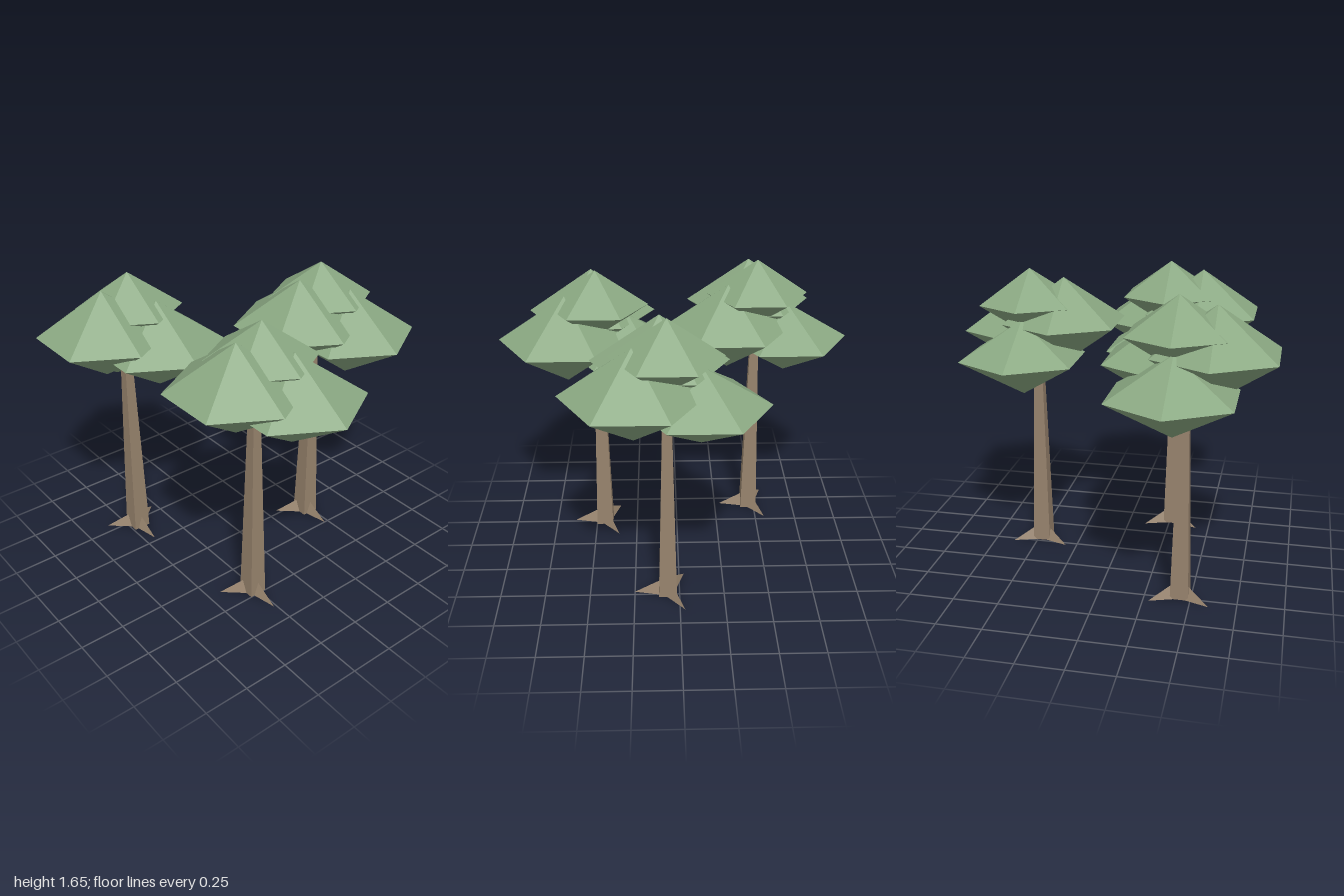
import * as THREE from 'three';
import { ConvexGeometry } from 'three/addons/geometries/ConvexGeometry.js';

const bark = new THREE.MeshStandardMaterial({ color: 0x96826c, flatShading: true });
const leaf = new THREE.MeshStandardMaterial({ color: 0x8aa882, flatShading: true });

function addMesh(parent, name, geometry, material) {
  const mesh = new THREE.Mesh(geometry, material);
  mesh.name = name;
  parent.add(mesh);
  return mesh;
}

// Foliage clumps: name, centre, radius, half height
const clumps = [
  ['topFoliage', [0, 1.455, -0.04], 0.29, 0.195],
  ['lowFoliage', [-0.175, 1.185, -0.04], 0.36, 0.21],
  ['frontFoliage', [0.035, 1.355, 0.145], 0.36, 0.245],
  ['sideFoliage', [0.17, 1.275, -0.105], 0.375, 0.25],
];

function createTree() {
  const tree = new THREE.Group();

  // Square tapering trunk
  const height = 1.3;
  const trunk = new THREE.CylinderGeometry(0.02 * Math.SQRT2, 0.05 * Math.SQRT2, height, 4);
  trunk.rotateY(Math.PI / 4).translate(0, height / 2, 0);
  addMesh(tree, 'trunk', trunk, bark);

  // Three pointed roots spread evenly around the base
  const rootGeometry = new ConvexGeometry([
    new THREE.Vector3(0.04, 0, 0.03),
    new THREE.Vector3(0.04, 0, -0.03),
    new THREE.Vector3(0.04, 0.08, 0),
    new THREE.Vector3(0.186, 0, 0),
    new THREE.Vector3(0, 0, 0),
  ]);
  for (let i = 0; i < 3; i++) {
    addMesh(tree, 'root', rootGeometry, bark).rotation.y = (i * Math.PI * 2) / 3;
  }

  // Six-sided double pyramids of foliage
  for (const [name, centre, radius, half] of clumps) {
    const geometry = new THREE.SphereGeometry(1, 6, 2).scale(radius, half, radius);
    addMesh(tree, name, geometry, leaf).position.set(...centre);
  }
  return tree;
}

export function createModel() {
  const model = new THREE.Group();
  model.name = 'treeCluster';
  const spots = { rightTree: [-0.465, 0.44], backTree: [0.065, -0.475], leftTree: [0.45, 0.265] };
  for (const [name, [x, z]] of Object.entries(spots)) {
    const tree = createTree();
    tree.name = name;
    tree.position.set(x, 0, z);
    model.add(tree);
  }
  return model;
}
